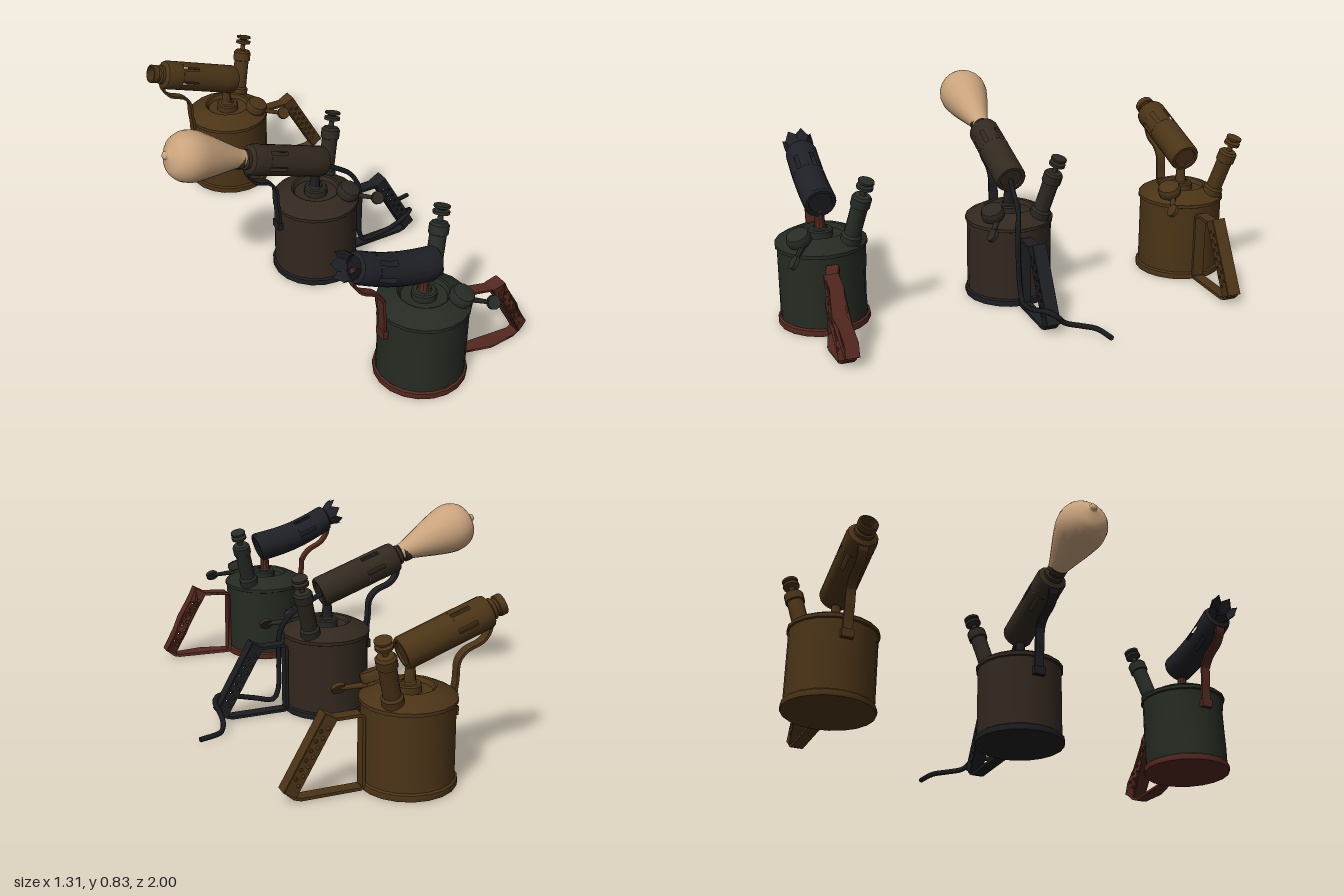
import * as THREE from 'three';
import { toCreasedNormals } from 'three/addons/utils/BufferGeometryUtils.js';

const V = (x, y, z = 0) => new THREE.Vector3(x, y, z);
const P = (x, y) => new THREE.Vector2(x, y);
const paint = (color) => new THREE.MeshStandardMaterial({ color, side: THREE.DoubleSide });

function add(parent, name, geo, mat, x = 0, y = 0, z = 0) {
  const mesh = new THREE.Mesh(geo, mat);
  mesh.name = name;
  mesh.position.set(x, y, z);
  parent.add(mesh);
  return mesh;
}

const lathe = (pts, sides = 18) =>
  toCreasedNormals(new THREE.LatheGeometry(pts.map(([r, y]) => P(r, y)), sides), 0.6);

// Group whose +y axis runs from a towards b
function aimed(parent, name, a, b) {
  const g = new THREE.Group();
  g.name = name;
  g.position.copy(a);
  g.quaternion.setFromUnitVectors(V(0, 1, 0), b.clone().sub(a).normalize());
  parent.add(g);
  return g;
}

// Flat metal strap following a path in the xy plane, width along z
function strap(pts, thick, width) {
  const left = [], right = [];
  pts.forEach((p, i) => {
    const a = pts[Math.max(i - 1, 0)], b = pts[Math.min(i + 1, pts.length - 1)];
    const d = P(b.x - a.x, b.y - a.y).normalize().multiplyScalar(thick / 2);
    left.push(P(p.x - d.y, p.y + d.x));
    right.unshift(P(p.x + d.y, p.y - d.x));
  });
  const geo = new THREE.ExtrudeGeometry(new THREE.Shape([...left, ...right]), { depth: width, bevelEnabled: false });
  return geo.translate(0, 0, -width / 2);
}

// Side plate of the grip, with staggered holes
function gripPlate(len, w) {
  const s = new THREE.Shape([P(-w / 2, 0), P(w / 2, 0), P(w / 2, len), P(-w / 2, len)]);
  for (let i = 0; i < 13; i++) {
    const hole = new THREE.Path();
    hole.absarc((i % 2 ? 1 : -1) * w * 0.2, 0.045 + i * 0.0195, 0.0075, 0, Math.PI * 2, true);
    s.holes.push(hole);
  }
  return new THREE.ExtrudeGeometry(s, { depth: 0.005, bevelEnabled: false, curveSegments: 4 });
}

function buildHandle(lamp, mat) {
  const g = new THREE.Group();
  g.name = 'handle';
  lamp.add(g);
  add(g, 'handleFrame', strap([V(0.35, 0.305), V(0.32, 0.3), V(0.225, 0.3), V(0.216, 0.292),
    V(0.216, 0.018), V(0.224, 0.01), V(0.34, 0.01), V(0.46, 0.01), V(0.485, 0.018), V(0.51, 0.04)], 0.012, 0.05), mat);
  const grip = aimed(g, 'grip', V(0.505, 0.035), V(0.345, 0.315));
  const len = 0.325, w = 0.05;
  for (const z of [-0.03, 0.025]) add(grip, 'gripSide', gripPlate(len, w), mat, 0, 0, z);
  for (const x of [-1, 1]) add(grip, 'gripEdge', new THREE.BoxGeometry(0.006, len, 0.055, 1, 6, 1), mat, x * w / 2, len / 2);
  for (const y of [0.003, len - 0.003]) add(grip, 'gripEnd', new THREE.BoxGeometry(w, 0.006, 0.055), mat, 0, y);
}

function buildBurner(lamp, mat, worn) {
  const g = aimed(lamp, 'burner', V(0.058, 0.507), V(-0.29, 0.629));
  const r = 0.065;
  add(g, 'burnerBack', lathe([[0, 0.004], [0.045, 0.004], [0.048, -0.004], [0.06, -0.004], [r, 0.006], [r, 0.06]]), mat);
  add(g, 'barrel', new THREE.CylinderGeometry(r, r, 0.15, 18, 5, true), mat, 0, 0.135);
  // Slotted section: strips with air gaps between them
  const n = 6;
  for (let i = 0; i < n; i++) {
    add(g, 'slotStrip', new THREE.CylinderGeometry(r, r, 0.08, 4, 2, true,
      (i / n) * Math.PI * 2, (Math.PI * 2 / n) * 0.74), mat, 0, 0.25);
  }
  add(g, 'barrelFront', lathe([[r, 0.29], [r, 0.35], [0.061, 0.362], [0.042, 0.372]]), mat);
  add(g, 'innerTube', new THREE.CylinderGeometry(0.035, 0.035, 0.36, 12, 4, true), mat, 0, 0.19);
  if (worn) {
    // Torn, flared mouth
    const crown = new THREE.CylinderGeometry(0.062, 0.044, 0.06, 14, 1, true);
    const p = crown.attributes.position;
    for (let i = 0; i < p.count; i++) {
      if (p.getY(i) > 0) p.setY(i, i % 2 ? 0.005 : 0.035);
    }
    add(g, 'tornNozzle', crown, mat, 0, 0.395);
  } else {
    add(g, 'nozzle', lathe([[0.042, 0.37], [0.042, 0.385], [0.034, 0.39], [0.034, 0.4], [0.041, 0.402],
      [0.041, 0.428], [0.034, 0.43], [0.034, 0.39]]), mat);
  }
  return g;
}

function buildLamp(name, z, c, worn) {
  const lamp = new THREE.Group();
  lamp.name = name;
  const [body, frame, burner, cap] = [c.body, c.frame, c.burner, c.cap].map(paint);
  const cx = 0.03;

  // Tank with a dished top
  add(lamp, 'tank', lathe([[0.178, 0.025], [0.178, 0.1], [0.178, 0.18], [0.178, 0.26], [0.178, 0.325], [0.185, 0.328],
    [0.185, 0.342], [0.176, 0.35], [0.125, 0.376], [0.105, 0.384], [0.098, 0.38], [0.09, 0.362], [0, 0.358]], 20), body, cx);
  add(lamp, 'baseRim', lathe([[0, 0], [0.186, 0], [0.188, 0.012], [0.186, 0.024], [0.178, 0.03]], 20), frame, cx);
  add(lamp, 'neckCollar', lathe([[0.05, 0.358], [0.05, 0.386], [0.044, 0.392], [0.03, 0.392], [0.026, 0.4]], 14), cap, cx);
  add(lamp, 'neck', new THREE.CylinderGeometry(0.017, 0.024, 0.11, 10, 2), frame, cx - 0.005, 0.43);
  buildBurner(lamp, burner, worn);
  buildHandle(lamp, frame);

  // Curved strut from the burner down the side of the tank
  const bend = new THREE.CatmullRomCurve3([V(-0.285, 0.615), V(-0.295, 0.56), V(-0.265, 0.515), V(-0.2, 0.487),
    V(-0.168, 0.45), V(-0.162, 0.38), V(-0.156, 0.33), V(-0.156, 0.24)]);
  add(lamp, 'strut', strap(bend.getPoints(24), 0.011, 0.04), frame);
  add(lamp, 'strutBracket', new THREE.BoxGeometry(0.022, 0.035, 0.05), frame, -0.155, 0.26);

  // Leaning pump with a plunger knob
  const pump = aimed(lamp, 'pump', V(0.13, 0.34, -0.09), V(0.19, 0.57, -0.14));
  add(pump, 'pumpBarrel', lathe([[0.042, 0], [0.042, 0.05], [0.034, 0.06], [0.034, 0.185], [0.04, 0.188],
    [0.04, 0.225], [0.032, 0.235], [0.012, 0.238], [0.011, 0.262], [0.02, 0.266], [0.034, 0.268], [0.034, 0.28],
    [0.014, 0.284], [0.02, 0.29], [0.033, 0.293], [0.033, 0.302], [0, 0.306]], 14), cap);

  // Filler cap and its side valve
  const filler = aimed(lamp, 'fillerCap', V(0.115, 0.35, 0.092), V(0.135, 0.43, 0.12));
  add(filler, 'cap', lathe([[0.036, 0], [0.036, 0.03], [0.048, 0.032], [0.05, 0.055], [0.044, 0.07], [0.02, 0.075], [0, 0.075]], 12), cap);
  const valve = aimed(lamp, 'valve', V(0.15, 0.365, 0.1), V(0.24, 0.345, 0.15));
  add(valve, 'valveStem', new THREE.CylinderGeometry(0.009, 0.012, 0.1, 8), cap, 0, 0.05);
  const wheel = add(lamp, 'valveWheel', new THREE.CylinderGeometry(0.028, 0.028, 0.016, 12), cap, 0.245, 0.345, 0.152);
  wheel.rotation.x = Math.PI / 2 - 0.6;

  if (worn) batter(lamp);
  lamp.position.z = z;
  return lamp;
}

// Dents the tank, sags the burner and twists the handle
function batter(lamp) {
  lamp.updateMatrixWorld(true);
  lamp.traverse((m) => {
    if (!m.isMesh) return;
    m.geometry.applyMatrix4(m.matrixWorld);
    const p = m.geometry.attributes.position;
    for (let i = 0; i < p.count; i++) {
      let [x, y, z] = [p.getX(i), p.getY(i), p.getZ(i)];
      if (x > 0.215 && m.name !== 'valveWheel' && m.name !== 'valveStem' && m.name !== 'pumpBarrel') {
        z += 0.035 * Math.sin((x - 0.215) * 10) + 0.008 * Math.sin(y * 40);
      }
      if (m.name === 'tank' && y < 0.32) {
        const d = 1 - 0.03 * Math.max(0, Math.sin(Math.atan2(z, x - 0.03) * 5 + y * 12));
        x = 0.03 + (x - 0.03) * d;
        z *= d;
      }
      if (y > 0.43 && x < 0.1) y -= 0.025 * Math.sin(Math.PI * THREE.MathUtils.clamp((0.07 - x) / 0.4, 0, 1));
      p.setXYZ(i, x, y, z);
    }
    m.geometry = toCreasedNormals(m.geometry, 0.6);
  });
  lamp.traverse((m) => {
    if (!m.isMesh && m !== lamp) { m.position.set(0, 0, 0); m.quaternion.identity(); }
    if (m.isMesh) { m.position.set(0, 0, 0); m.rotation.set(0, 0, 0); }
  });
}

export function createModel() {
  const model = new THREE.Group();
  model.name = 'blowlamps';
  model.add(buildLamp('wornLamp', 0.805, { body: 0x252b22, frame: 0x52281f, burner: 0x1f2026, cap: 0x272c25 }, true));
  const electric = buildLamp('electricLamp', 0, { body: 0x32281f, frame: 0x1d1e21, burner: 0x32291f, cap: 0x2c2822 });
  model.add(electric, buildLamp('brassLamp', -0.815, { body: 0x4b3417, frame: 0x4b3417, burner: 0x4b3417, cap: 0x4b3417 }));

  // Light bulb in the burner mouth
  const bulb = aimed(electric, 'bulb', V(-0.31, 0.642), V(-0.655, 0.768));
  const outline = new THREE.SplineCurve([P(0.036, 0), P(0.042, 0.03), P(0.065, 0.1), P(0.088, 0.17), P(0.104, 0.235),
    P(0.1, 0.285), P(0.075, 0.325), P(0.03, 0.346), P(0.018, 0.352), P(0.014, 0.364), P(0, 0.37)]);
  add(bulb, 'bulbGlass', new THREE.LatheGeometry(outline.getPoints(30), 20), paint(0xc9a37c));

  // Power cord: down the tank, past the handle and away across the ground
  const cord = new THREE.CatmullRomCurve3([V(0.05, 0.5), V(0.11, 0.465, 0.01), V(0.19, 0.41, 0.02), V(0.225, 0.34, 0.035),
    V(0.232, 0.2, 0.035), V(0.238, 0.09, 0.03), V(0.26, 0.047, 0.03), V(0.34, 0.058, 0.045), V(0.43, 0.08, 0.045),
    V(0.51, 0.1, 0.02), V(0.53, 0.085, -0.01), V(0.518, 0.045, -0.05), V(0.53, 0.025, -0.12), V(0.56, 0.018, -0.17), V(0.65, 0.013, -0.195)]);
  add(electric, 'powerCord', new THREE.TubeGeometry(cord, 60, 0.011, 6), paint(0x1a1b1d));
  return model;
}
